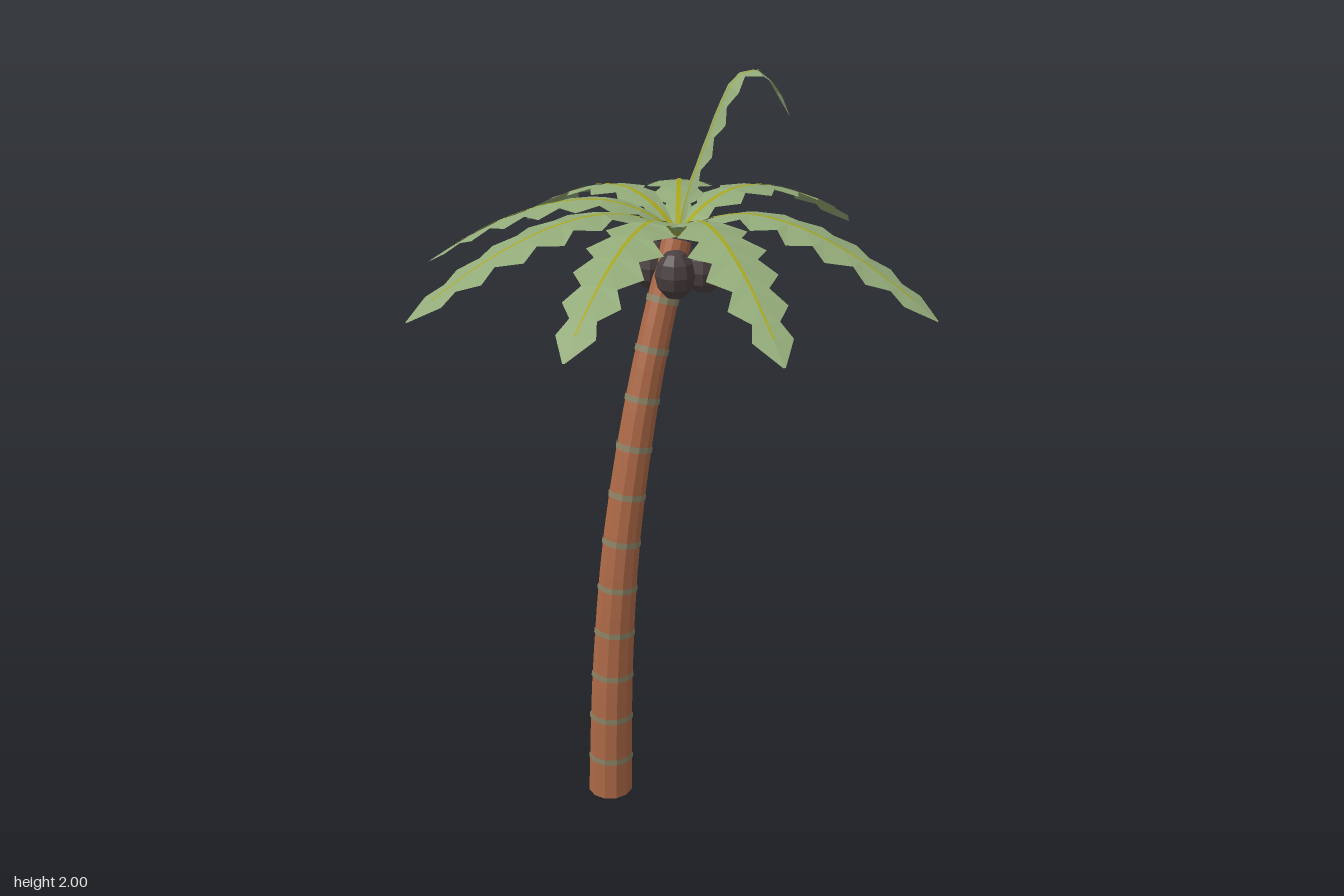
import * as THREE from 'three';

const mat = (name, color, side = THREE.FrontSide) => {
  const m = new THREE.MeshStandardMaterial({ color, flatShading: true, side });
  m.name = name;
  return m;
};

// Sheet swept along a curve in the xy plane. Rows are [fraction, half width];
// lift raises it off the curve, fold makes the wider rows droop more at their edges.
function sweepSheet(curve, rows, lift, fold) {
  const verts = [];
  const index = [];
  rows.forEach(([u, half], i) => {
    const c = curve.getPointAt(u);
    const t = curve.getTangentAt(u);
    const edge = lift - fold * half * half;
    const ex = c.x - t.y * edge;
    const ey = c.y + t.x * edge;
    verts.push(ex, ey, -half, c.x - t.y * lift, c.y + t.x * lift, 0, ex, ey, half);
    if (i < rows.length - 1) {
      const a = i * 3; // left, centre, right of this row
      index.push(a + 1, a + 2, a + 5, a + 1, a + 5, a + 4);
      index.push(a + 1, a + 4, a + 3, a + 1, a + 3, a);
    }
  });
  const indexed = new THREE.BufferGeometry();
  indexed.setAttribute('position', new THREE.Float32BufferAttribute(verts, 3));
  indexed.setIndex(index);
  const geo = indexed.toNonIndexed();
  geo.computeVertexNormals();
  return geo;
}

export function createModel() {
  const bark = mat('bark', 0xaa6745);
  const band = mat('trunkBand', 0x8a8265);
  const leaf = mat('leafGreen', 0x92aa79, THREE.DoubleSide);
  const rib = mat('ribYellow', 0xa8a51c, THREE.DoubleSide);
  const shell = mat('coconutShell', 0x4a3f40);

  const model = new THREE.Group();
  model.name = 'palmTree';
  const add = (parent, name, geometry, material) => {
    const mesh = new THREE.Mesh(geometry, material);
    mesh.name = name;
    parent.add(mesh);
    return mesh;
  };

  // Leaning trunk: a cylinder bent along a curve
  const spine = new THREE.CatmullRomCurve3([
    [-0.305, 0], [-0.286, 0.4], [-0.24, 0.8], [-0.155, 1.18], [-0.07, 1.45], [-0.025, 1.575],
  ].map(([x, y]) => new THREE.Vector3(x, y, 0.01)));
  const trunkRadius = (u) => 0.064 - 0.025 * u;
  const trunkGeo = new THREE.CylinderGeometry(1, 1, 1, 12, 14);
  const pos = trunkGeo.attributes.position;
  for (let i = 0; i < pos.count; i++) {
    const u = THREE.MathUtils.clamp(pos.getY(i) + 0.5, 0, 1);
    const c = spine.getPointAt(u);
    const t = spine.getTangentAt(u);
    if (u === 0) t.set(0, 1, 0); // flat foot
    const r = trunkRadius(u);
    const x = pos.getX(i) * r;
    pos.setXYZ(i, c.x + x * t.y, c.y - x * t.x, c.z + pos.getZ(i) * r);
  }
  trunkGeo.computeVertexNormals();
  add(model, 'trunk', trunkGeo, bark);

  // Thin bands around the trunk
  for (let i = 0; i < 11; i++) {
    const u = (0.12 + 0.134 * i) / 1.62;
    const r = trunkRadius(u) + 0.0025;
    const ring = add(model, 'trunkBand', new THREE.CylinderGeometry(r, r, 0.017, 12, 1, true), band);
    ring.position.copy(spine.getPointAt(u));
    ring.quaternion.setFromUnitVectors(new THREE.Vector3(0, 1, 0), spine.getTangentAt(u));
  }

  // Coconuts clustered around the top of the trunk
  const nuts = [[-0.075, 1.5, 0.052], [0.037, 1.49, 0.05], [0.037, 1.49, -0.046], [-0.062, 1.505, -0.046]];
  for (const [x, y, z] of nuts) {
    const nut = add(model, 'coconut', new THREE.SphereGeometry(0.053, 9, 6), shell);
    nut.position.set(x, y, z);
    nut.scale.y = 1.25;
  }

  // Frond outline: teeth and notches alternate
  const outline = [
    [0, 0.014], [0.05, 0.022], [0.1, 0.045], [0.155, 0.032], [0.22, 0.077], [0.29, 0.046],
    [0.36, 0.091], [0.43, 0.054], [0.495, 0.1], [0.56, 0.057], [0.63, 0.09], [0.7, 0.045],
    [0.77, 0.074], [0.835, 0.034], [0.9, 0.05], [1, 0.003],
  ];
  const ribOutline = outline.filter(([u]) => u < 0.95).map(([u]) => [u, 0.0075 - 0.006 * u]);

  // One toothed frond with a thin rib on both faces, growing toward local +x
  function addFrond(name, profile, widthScale, x, z) {
    const group = new THREE.Group();
    group.name = name;
    const curve = new THREE.CatmullRomCurve3(profile.map(([r, y]) => new THREE.Vector3(r, y, 0)));
    const blade = outline.map(([u, half]) => [u, half * widthScale]);
    add(group, 'frondBlade', sweepSheet(curve, blade, 0, 1.6 / widthScale), leaf);
    for (const lift of [0.002, -0.003]) add(group, 'frondRib', sweepSheet(curve, ribOutline, lift, 0), rib);
    group.position.x = -0.01;
    group.rotation.y = Math.atan2(-z, x + 0.01);
    model.add(group);
  }

  // Eight arching fronds, given by where their tips lie
  const tips = [
    [0.74, -0.01], [0.505, -0.48], [0.09, -0.715], [-0.39, -0.575],
    [-0.74, -0.2], [-0.67, 0.28], [-0.355, 0.65], [0.14, 0.715],
  ];
  const arch = [
    [0, 1.58], [0.05, 1.616], [0.12, 1.647], [0.22, 1.666], [0.36, 1.652], [0.52, 1.6], [0.65, 1.535], [0.75, 1.475],
  ];
  for (const [x, z] of tips) {
    const s = Math.hypot(x + 0.01, z) / 0.75;
    addFrond('frond', arch.map(([r, y]) => [r * s, y]), 1, x, z);
  }

  // Young upright frond with a curled tip
  const upright = [
    [0, 1.58], [0.03, 1.7], [0.075, 1.82], [0.115, 1.92], [0.155, 1.985], [0.205, 1.997], [0.255, 1.95], [0.29, 1.88],
  ];
  addFrond('uprightFrond', upright, 0.72, 0.22, 0.17);

  return model;
}
